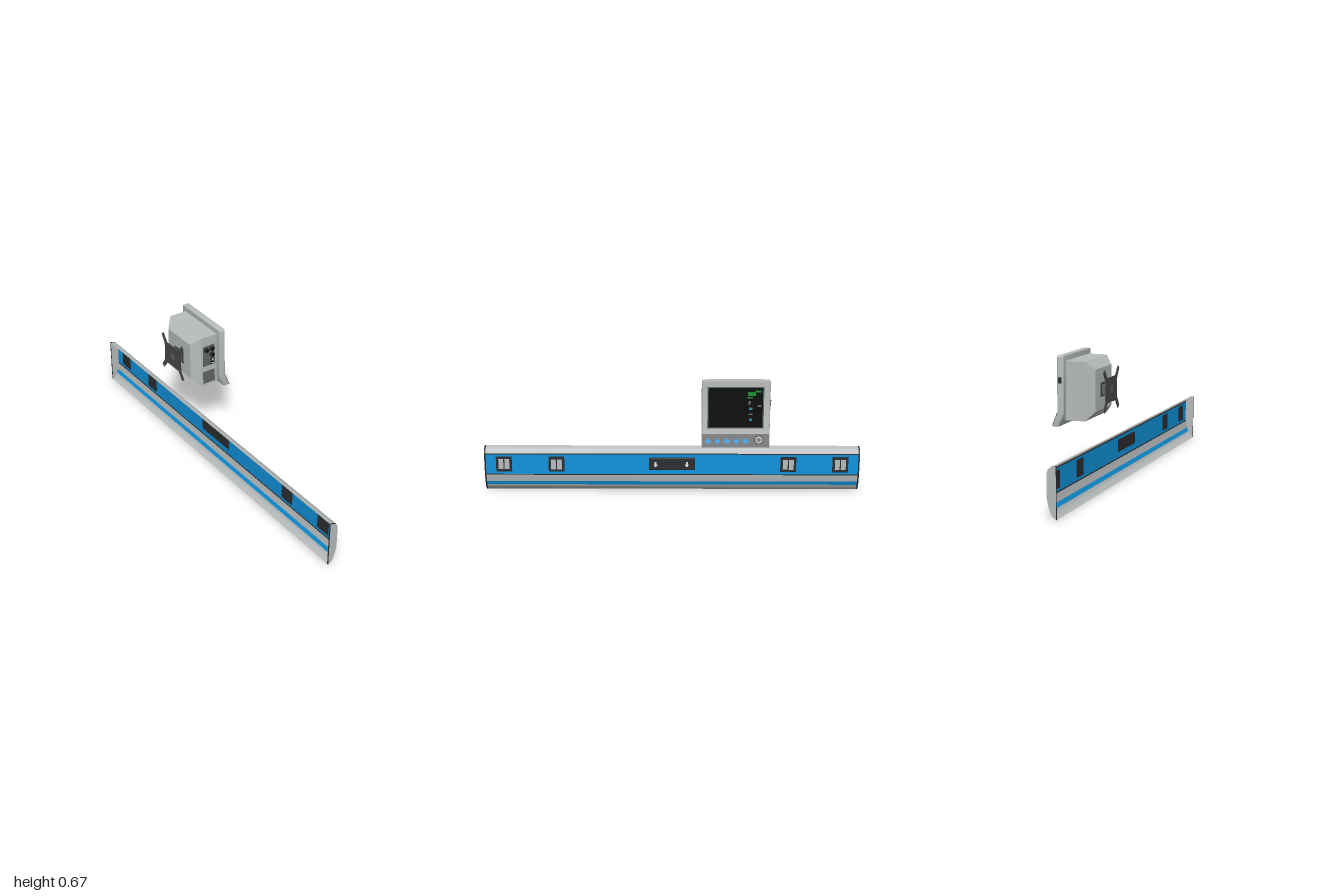
import * as THREE from 'three';
import { toCreasedNormals } from 'three/addons/utils/BufferGeometryUtils.js';
import { ConvexGeometry } from 'three/addons/geometries/ConvexGeometry.js';
import { RoundedBoxGeometry } from 'three/addons/geometries/RoundedBoxGeometry.js';

const mat = (name, color, side = THREE.FrontSide) =>
  Object.assign(new THREE.MeshStandardMaterial({ color, side }), { name });

const M = {
  shell: mat('shell grey', 0xb8bcbc, THREE.DoubleSide),
  blue: mat('panel blue', 0x0f93dc, THREE.DoubleSide),
  dark: mat('charcoal', 0x2c2d2f),
  mid: mat('mid grey', 0x636567),
  bracket: mat('bracket grey', 0x48494a),
  black: mat('screen black', 0x0a0b0c),
  green: mat('display green', 0x1c8f32),
  cyan: mat('display cyan', 0x2a8f9c),
  white: mat('white', 0xe0e2e2),
};

function add(parent, name, geo, material, x = 0, y = 0, z = 0) {
  const m = new THREE.Mesh(geo, material);
  m.name = name;
  m.position.set(x, y, z);
  parent.add(m);
  return m;
}

const box = (parent, name, material, w, h, d, x, y, z) =>
  add(parent, name, new THREE.BoxGeometry(w, h, d), material, x, y, z);

const shapeOf = (pts) => new THREE.Shape(pts.map(([x, y]) => new THREE.Vector2(x, y)));

// Open sheet: a side profile swept along z, facing +x
function sheet(pts, halfLength) {
  const pos = [], idx = [];
  pts.forEach(([x, y], i) => {
    pos.push(x, y, halfLength, x, y, -halfLength);
    if (i) {
      const a = 2 * i - 2;
      idx.push(a, a + 1, a + 2, a + 1, a + 3, a + 2);
    }
  });
  const g = new THREE.BufferGeometry();
  g.setAttribute('position', new THREE.Float32BufferAttribute(pos, 3));
  g.setIndex(idx);
  g.computeVertexNormals();
  return g;
}

function buildRail() {
  const rail = new THREE.Group();
  rail.name = 'wallRail';
  const L = 0.992;
  const lower = [[-0.122, 0], [-0.1, 0.018], [-0.093, 0.036]];
  const stripe = [[-0.093, 0.036], [-0.085, 0.057]];
  const middle = [[-0.085, 0.057], [-0.081, 0.075], [-0.077, 0.098]];
  const band = [[-0.077, 0.098], [-0.077, 0.216]];
  const top = [[-0.077, 0.216], [-0.085, 0.233], [-0.1, 0.243], [-0.122, 0.248]];

  // Curved open-backed cover
  add(rail, 'lowerCover', sheet(lower, L), M.shell);
  add(rail, 'lowerStripe', sheet(stripe, L), M.blue);
  add(rail, 'middleCover', sheet(middle, L), M.shell);
  add(rail, 'frontBand', sheet(band, L), M.blue);
  add(rail, 'topCover', sheet(top, L), M.shell);
  for (const y of [0.099, 0.215]) box(rail, 'seam', M.dark, 0.003, 0.005, 2 * L, -0.0775, y, 0);

  // End caps with a dark rim
  const profile = [...lower, ...stripe.slice(1), ...middle.slice(1), ...band.slice(1), ...top.slice(1)];
  const cap = new THREE.ExtrudeGeometry(shapeOf(profile), { depth: 0.008, bevelEnabled: false });
  for (const z of [-1, 0.992]) add(rail, 'endCap', cap, [M.shell, M.dark], 0, 0, z);

  // Double outlets
  for (const z of [0.895, 0.615, -0.62, -0.897]) {
    const outlet = new THREE.Group();
    outlet.name = 'outlet';
    outlet.position.set(-0.075, 0.158, z);
    box(outlet, 'outletFrame', M.dark, 0.006, 0.085, 0.084, 0, 0, 0);
    for (const s of [-1, 1]) box(outlet, 'outletInsert', M.shell, 0.003, 0.056, 0.026, 0.003, 0, s * 0.016);
    rail.add(outlet);
  }

  // Central control box
  add(rail, 'controlBox', new RoundedBoxGeometry(0.014, 0.068, 0.245, 2, 0.004), M.dark, -0.071, 0.163, 0);
  for (const z of [0.086, -0.08]) {
    box(rail, 'controlMark', M.white, 0.002, 0.028, 0.01, -0.064, 0.161, z);
    box(rail, 'controlMarkBase', M.white, 0.002, 0.01, 0.02, -0.064, 0.157, z);
  }
  return rail;
}

function buildMonitor() {
  const mon = new THREE.Group();
  mon.name = 'monitor';
  mon.position.z = -0.328;

  // Rear housing tapering to the back
  const pts = [];
  for (const [x, y0, y1, hz] of [[-0.08, 0.393, 0.6, 0.103], [-0.039, 0.35, 0.642, 0.145], [0.062, 0.35, 0.642, 0.145]])
    for (const y of [y0, y1]) for (const z of [-hz, hz]) pts.push(new THREE.Vector3(x, y, z));
  add(mon, 'rearHousing', new ConvexGeometry(pts), M.shell);

  // Bezel with the kicked-out lower lip
  const b = 0.008;
  const bezel = new THREE.ExtrudeGeometry(
    shapeOf([[0.058, 0.668], [0.058, 0.388], [0.088, 0.32], [0.122, 0.32], [0.094, 0.39], [0.094, 0.668]]),
    { depth: 0.35 - 2 * b, bevelThickness: b, bevelSize: b, bevelOffset: -b, bevelSegments: 3 });
  bezel.translate(0, 0, -0.175 + b);
  add(mon, 'bezel', toCreasedNormals(bezel, 0.6), M.shell);

  // Screen and its readings
  box(mon, 'screenFrame', M.mid, 0.003, 0.222, 0.288, 0.094, 0.528, 0.002);
  box(mon, 'screen', M.black, 0.003, 0.21, 0.276, 0.0955, 0.528, 0.002);
  const mark = (m, y, z, h, w) => box(mon, 'reading', m, 0.001, h, w, 0.0973, y, z);
  mark(M.green, 0.602, -0.08, 0.022, 0.04);
  mark(M.green, 0.582, -0.07, 0.008, 0.03);
  mark(M.green, 0.616, -0.112, 0.008, 0.03);
  mark(M.cyan, 0.525, -0.075, 0.014, 0.018);
  mark(M.cyan, 0.465, -0.075, 0.012, 0.016);
  mark(M.mid, 0.555, -0.068, 0.022, 0.012);
  mark(M.mid, 0.495, -0.075, 0.008, 0.02);
  mark(M.mid, 0.54, -0.12, 0.01, 0.02);

  // Sloped key strip
  const keys = new THREE.Group();
  keys.name = 'keyStrip';
  keys.position.set(0.108, 0.355, 0);
  keys.rotation.z = Math.atan2(0.028, 0.07);
  box(keys, 'keyPlate', M.mid, 0.003, 0.07, 0.344, 0, 0, 0);
  const round = (r, h) => new THREE.CylinderGeometry(r, r, h, 20).rotateZ(Math.PI / 2);
  for (let i = 0; i < 5; i++)
    add(keys, 'key', round(0.014, 0.005).scale(1, 0.85, 1), M.blue, 0.003, -0.003, 0.141 - i * 0.048);
  add(keys, 'knobRing', round(0.024, 0.004), M.dark, 0.002, 0.004, -0.118);
  add(keys, 'knob', round(0.018, 0.016), M.shell, 0.006, 0.004, -0.118);
  add(keys, 'knobCentre', round(0.011, 0.002), M.mid, 0.014, 0.004, -0.118);
  mon.add(keys);

  // Connector panels on the side
  const face = 0.145;
  box(mon, 'connectorPanel', M.mid, 0.073, 0.12, 0.004, 0.0085, 0.528, face + 0.001);
  box(mon, 'sideHatch', M.mid, 0.072, 0.072, 0.004, 0.008, 0.399, face + 0.001);
  const port = (m, r, h, x, y) =>
    add(mon, 'port', new THREE.CylinderGeometry(r, r, h, 20).rotateX(Math.PI / 2), m, x, y, face + h / 2);
  for (const [x, y] of [[-0.01, 0.568], [0.025, 0.568], [0.025, 0.533]]) {
    port(M.dark, 0.014, 0.014, x, y);
    port(M.black, 0.008, 0.016, x, y);
  }
  for (const y of [0.503, 0.481]) {
    port(M.black, 0.0085, 0.008, 0.025, y);
    port(M.white, 0.0045, 0.012, 0.025, y);
  }
  box(mon, 'sideButton', M.dark, 0.016, 0.03, 0.008, 0.076, 0.55, -0.175);

  // Wall bracket: cross plate, arm and rear pad
  const plate = [];
  const quarter = [[0.06, 0.045], [0.085, 0.108], [0.103, 0.096], [0.075, 0.05]];
  const corner = [[0.075, 0.05], [0.103, 0.093], [0.087, 0.107], [0.055, 0.062]];
  for (const [sx, sy, flip] of [[1, 1, 0], [-1, 1, 1], [-1, -1, 0], [1, -1, 1]]) {
    const c = flip ? [...corner].reverse() : corner;
    c.forEach(([x, y]) => plate.push([x * sx, y * sy]));
  }
  const cross = shapeOf(plate);
  const h = 0.018;
  cross.holes.push(new THREE.Path([[-h, -h], [-h, h], [h, h], [h, -h]].map(([x, y]) => new THREE.Vector2(x, y))));
  const crossGeo = new THREE.ExtrudeGeometry(cross, { depth: 0.004, bevelEnabled: false }).rotateY(Math.PI / 2);
  add(mon, 'wallPlate', crossGeo, M.bracket, -0.123, 0.492, 0);
  box(mon, 'bracketArm', M.mid, 0.04, 0.047, 0.05, -0.1, 0.492, 0);
  box(mon, 'rearPad', M.bracket, 0.004, 0.07, 0.08, -0.081, 0.492, 0);
  return mon;
}

export function createModel() {
  const model = new THREE.Group();
  model.name = 'bedsideRailAndMonitor';
  model.add(buildRail(), buildMonitor());
  return model;
}
